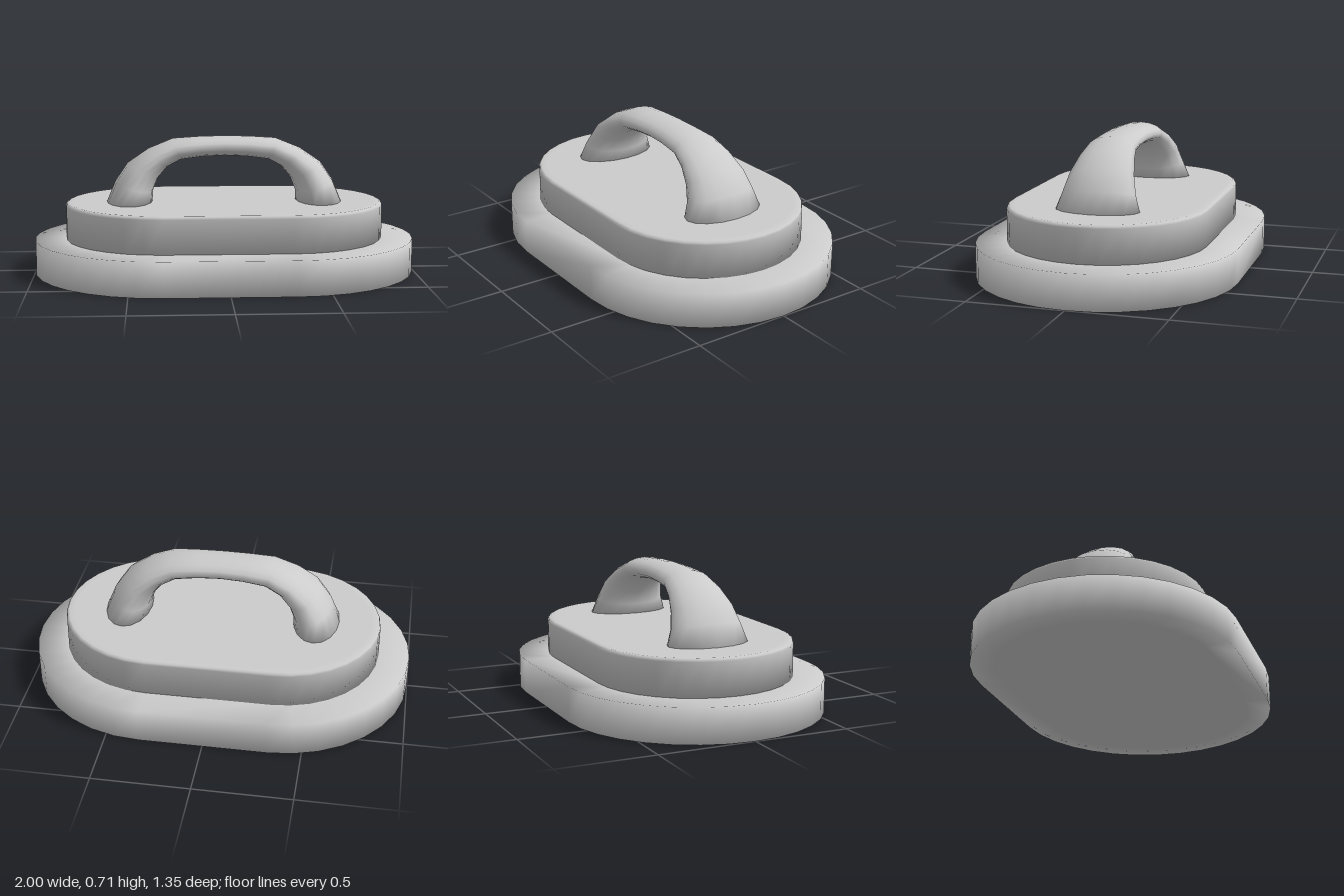
import * as THREE from 'three';

// Skin a list of closed rings (arrays of Vector3) with shared vertices, capping both ends.
function skin(name, rings, material) {
  const n = rings[0].length;
  const positions = [];
  const index = [];
  rings.forEach(ring => ring.forEach(p => positions.push(p.x, p.y, p.z)));
  for (let i = 0; i < rings.length - 1; i++) {
    for (let j = 0; j < n; j++) {
      const k = (j + 1) % n;
      const a = i * n + j, b = i * n + k, c = a + n, d = b + n;
      index.push(a, b, d, a, d, c);
    }
  }
  const cap = (ring, start, flip) => {
    const centre = new THREE.Vector3();
    ring.forEach(p => centre.addScaledVector(p, 1 / n));
    const m = positions.length / 3;
    positions.push(centre.x, centre.y, centre.z);
    for (let j = 0; j < n; j++) {
      const a = start + j, b = start + (j + 1) % n;
      if (flip) index.push(m, b, a);
      else index.push(m, a, b);
    }
  };
  cap(rings[0], 0, true);
  cap(rings[rings.length - 1], (rings.length - 1) * n, false);
  const geometry = new THREE.BufferGeometry();
  geometry.setAttribute('position', new THREE.Float32BufferAttribute(positions, 3));
  geometry.setIndex(index);
  geometry.computeVertexNormals();
  const mesh = new THREE.Mesh(geometry, material);
  mesh.name = name;
  return mesh;
}

// Horizontal stadium outline: two half circles joined by straight sides.
function stadium(half, radius, y, segments = 16) {
  const points = [];
  for (const side of [1, -1]) {
    for (let i = 0; i <= segments; i++) {
      const t = -Math.PI / 2 + (Math.PI * i) / segments;
      points.push(new THREE.Vector3(
        side * (half + radius * Math.cos(t)), y, -side * radius * Math.sin(t)));
    }
  }
  return points;
}

export function createModel() {
  const group = new THREE.Group();
  const grey = new THREE.MeshStandardMaterial({ color: 0xcccccc });

  // Wide base slab with softly shaded edges
  group.add(skin('base', [
    stadium(0.325, 0.55, 0),
    stadium(0.325, 0.675, 0),
    stadium(0.325, 0.675, 0.18),
    stadium(0.325, 0.5, 0.18),
  ], grey));

  // Smaller raised step with a narrow rounded rim
  group.add(skin('upperStep', [
    stadium(0.322, 0.515, 0.17),
    stadium(0.322, 0.515, 0.355),
    stadium(0.322, 0.511, 0.366),
    stadium(0.322, 0.5, 0.372),
    stadium(0.322, 0.47, 0.372),
  ], grey));

  // Arched handle: outer x, outer y, inner x, inner y, half depth
  const stations = [
    [0.625, 0.36, 0.38, 0.36, 0.222],
    [0.575, 0.48, 0.378, 0.425, 0.19],
    [0.51, 0.575, 0.35, 0.495, 0.168],
    [0.4, 0.65, 0.3, 0.555, 0.145],
    [0.27, 0.703, 0.23, 0.592, 0.126],
    [0.13, 0.712, 0.115, 0.607, 0.117],
    [0, 0.715, 0, 0.612, 0.114],
  ];
  const mirrored = stations.slice(0, -1).reverse()
    .map(([ox, oy, ix, iy, w]) => [-ox, oy, -ix, iy, w]);
  const sides = 16;
  const rings = [...stations, ...mirrored].map(([ox, oy, ix, iy, w]) =>
    Array.from({ length: sides }, (_, j) => {
      const t = (2 * Math.PI * j) / sides;
      const c = Math.cos(t) / 2;
      return new THREE.Vector3(
        (ox + ix) / 2 + (ox - ix) * c,
        (oy + iy) / 2 + (oy - iy) * c,
        -w * Math.sin(t));
    }));
  group.add(skin('handle', rings, grey));

  return group;
}
